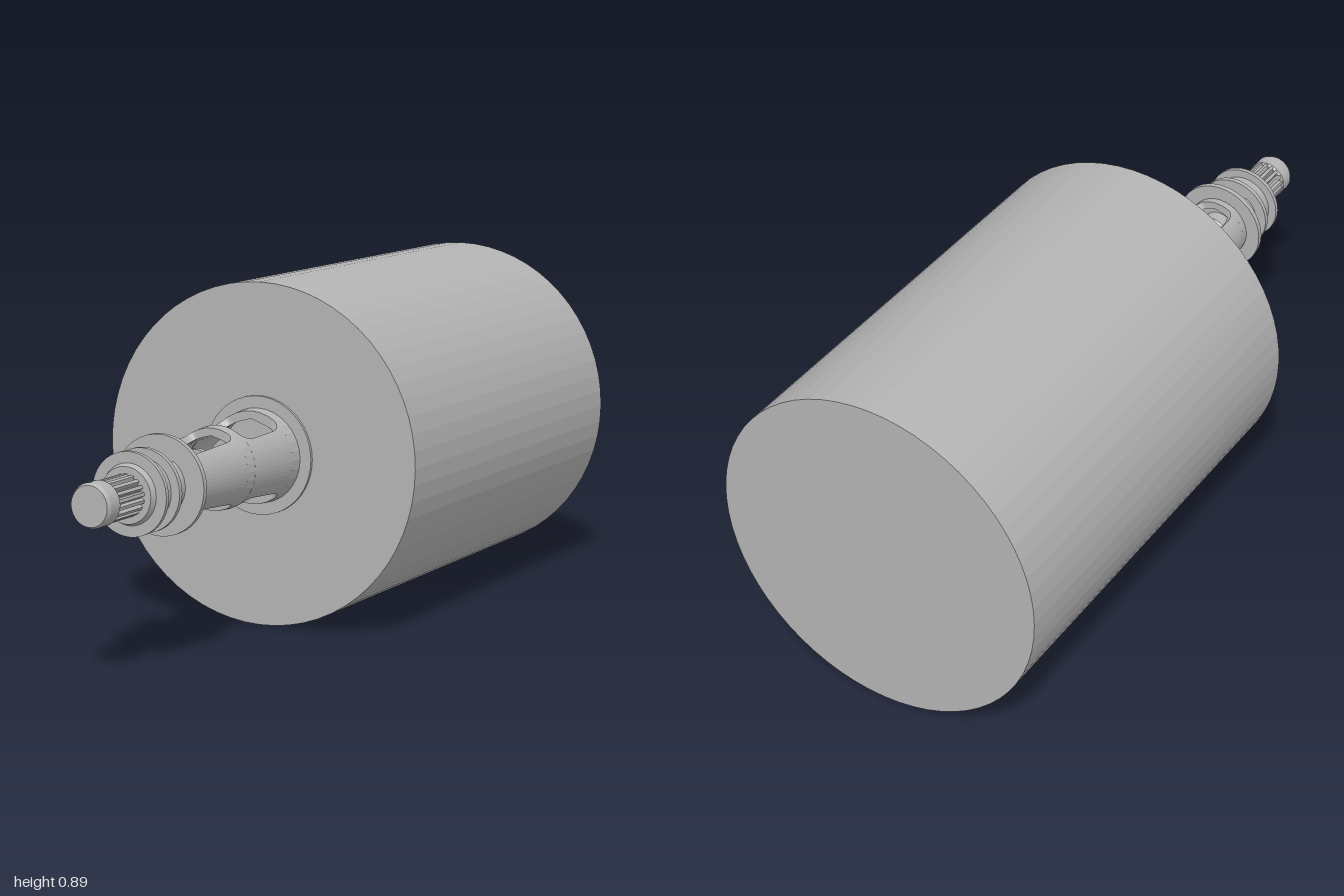
import * as THREE from 'three';

const steel = new THREE.MeshStandardMaterial({ color: 0xb4b4b4 });
steel.name = 'grey metal';

const AXIS_Y = 0.4475;

// Faceted mesh with a plain name
function part(name, geometry) {
  const g = geometry.index ? geometry.toNonIndexed() : geometry;
  g.computeVertexNormals();
  const mesh = new THREE.Mesh(g, steel);
  mesh.name = name;
  return mesh;
}

// Solid turned about the z axis from [radius, z] points, back to front
function turned(name, profile, sides = 48) {
  const pts = profile.map(([r, z]) => new THREE.Vector2(r, z));
  const g = new THREE.LatheGeometry(pts, sides);
  g.rotateX(Math.PI / 2);
  return part(name, g);
}

function disc(name, r, z0, z1, sides = 48) {
  return turned(name, [[0, z0], [r, z0], [r, z1], [0, z1]], sides);
}

// One side wall of a hollow cone. Sections are [z, half angle of the opening in degrees]
function sideWall(name, sections, radiusAt, thickness, side) {
  const n = 16, positions = [], index = [];
  for (const [z, opening] of sections) {
    const a = THREE.MathUtils.degToRad(90 - opening);
    const r = radiusAt(z);
    for (let i = 0; i <= 2 * n + 1; i++) {
      const outer = i <= n;
      const t = outer ? i / n : (2 * n + 1 - i) / n;
      const angle = -a + 2 * a * t + (side < 0 ? Math.PI : 0);
      const rr = outer ? r : r - thickness;
      positions.push(rr * Math.cos(angle), rr * Math.sin(angle), z);
    }
  }
  const m = 2 * n + 2;
  for (let k = 0; k < sections.length - 1; k++) {
    for (let i = 0; i < m; i++) {
      const j = (i + 1) % m;
      const a = k * m + i, b = k * m + j, c = a + m, d = b + m;
      index.push(a, b, d, a, d, c);
    }
  }
  const g = new THREE.BufferGeometry();
  g.setAttribute('position', new THREE.Float32BufferAttribute(positions, 3));
  g.setIndex(index);
  return part(name, g);
}

// Rounded opening between two z positions
function windowSections(z0, z1, w, fillet) {
  const out = [[z0, 0]];
  const steps = 5;
  for (let i = 0; i <= steps; i++) {
    const t = (i / steps) * Math.PI / 2;
    out.push([z0 + fillet * (1 - Math.cos(t)), w * (0.68 + 0.32 * Math.sin(t))]);
  }
  for (let i = steps; i >= 0; i--) {
    const t = (i / steps) * Math.PI / 2;
    out.push([z1 - fillet * (1 - Math.cos(t)), w * (0.68 + 0.32 * Math.sin(t))]);
  }
  out.push([z1, 0]);
  return out;
}

// Splined shaft end
function spline() {
  const teeth = 18, shape = new THREE.Shape();
  for (let i = 0; i < teeth; i++) {
    [[0, 0.044], [0.2, 0.053], [0.65, 0.053], [0.85, 0.044]].forEach(([f, r], j) => {
      const a = ((i + f) / teeth) * Math.PI * 2;
      const x = r * Math.cos(a), y = r * Math.sin(a);
      if (i + j === 0) shape.moveTo(x, y);
      else shape.lineTo(x, y);
    });
  }
  const g = new THREE.ExtrudeGeometry(shape, { depth: 0.115, bevelEnabled: false });
  g.translate(0, 0, 0.837);
  return part('spline', g);
}

export function createModel() {
  const model = new THREE.Group();
  model.name = 'drumWithDriveShaft';
  const assembly = new THREE.Group();
  assembly.name = 'assembly';
  assembly.position.y = AXIS_Y;
  model.add(assembly);

  // Large drum and its mounting flange
  assembly.add(disc('drum', 0.4475, -1, 0.195, 64));
  assembly.add(disc('mountingFlange', 0.155, 0.19, 0.203));

  // Tapered housing, open above and below
  const taper = z => THREE.MathUtils.lerp(0.124, 0.088, (z - 0.2) / 0.46);
  const housing = [
    [0.2, 0],
    ...windowSections(0.238, 0.405, 47, 0.035),
    ...windowSections(0.438, 0.65, 40, 0.035),
    [0.68, 0],
  ];
  // Narrow neck behind the bearing
  const neck = [[0.685, 33], [0.757, 33]];
  for (const side of [1, -1]) {
    const label = side > 0 ? 'left' : 'right';
    assembly.add(sideWall(label + 'HousingWall', housing, taper, 0.02, side));
    assembly.add(sideWall(label + 'NeckPost', neck, () => 0.074, 0.026, side));
  }

  // Inner shaft with its couplings
  assembly.add(disc('innerShaft', 0.016, 0.2, 0.84, 20));
  assembly.add(disc('neckShaft', 0.027, 0.66, 0.76, 24));
  assembly.add(turned('rearCoupling', [
    [0, 0.283], [0.032, 0.283], [0.038, 0.29], [0.038, 0.32], [0.068, 0.32],
    [0.068, 0.336], [0.036, 0.336], [0.036, 0.355], [0, 0.355],
  ], 32));
  assembly.add(turned('middleCoupling', [
    [0, 0.465], [0.036, 0.465], [0.042, 0.472], [0.042, 0.503], [0.064, 0.503],
    [0.064, 0.52], [0.04, 0.52], [0.04, 0.54], [0, 0.54],
  ], 32));
  assembly.add(turned('frontCoupling', [
    [0, 0.582], [0.028, 0.582], [0.032, 0.588], [0.032, 0.62],
    [0.046, 0.635], [0.046, 0.67], [0, 0.67],
  ], 32));

  // Housing end plate and bearing with two rims
  assembly.add(disc('endPlate', 0.126, 0.673, 0.688));
  assembly.add(turned('bearing', [
    [0, 0.752], [0.104, 0.752], [0.104, 0.765], [0.081, 0.765], [0.081, 0.813],
    [0.104, 0.813], [0.104, 0.825], [0.076, 0.825], [0.07, 0.84], [0, 0.84],
  ]));

  // Shaft end
  assembly.add(spline());
  assembly.add(turned('shaftTip', [
    [0, 0.945], [0.049, 0.945], [0.055, 0.951], [0.055, 0.99], [0.05, 1], [0, 1],
  ]));
  return model;
}
